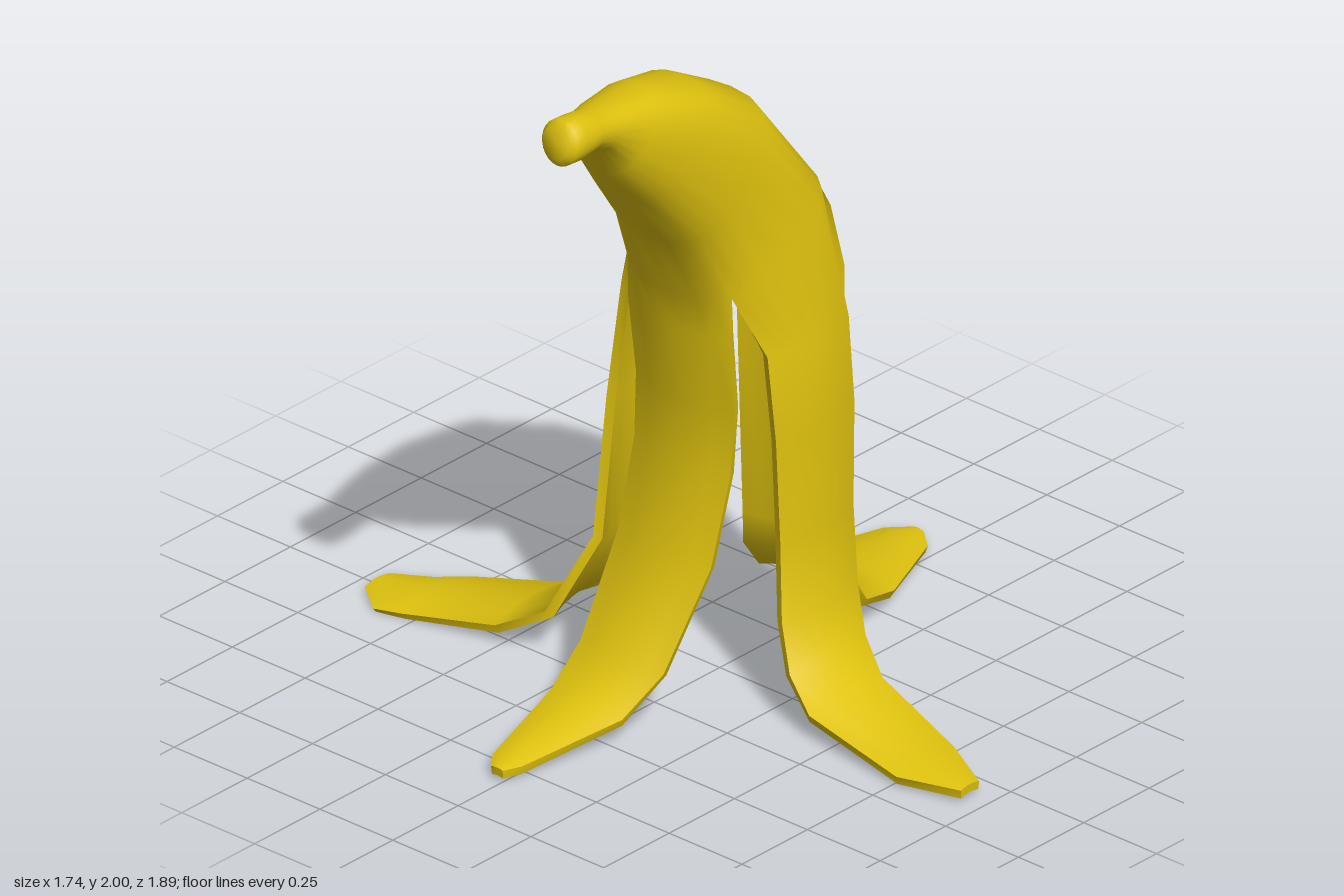
import * as THREE from 'three';
import { mergeGeometries, toCreasedNormals } from 'three/addons/utils/BufferGeometryUtils.js';

const V = (x, y, z) => new THREE.Vector3(x, y, z);
const SEG = 24, QUARTER = SEG / 4;
const THICK = 0.024;

// Skin a list of closed loops, optionally capping the first and last one
function loft(loops, capStart, capEnd) {
  const pos = [];
  const tri = (...pts) => pts.forEach((p) => pos.push(p.x, p.y, p.z));
  const n = loops[0].length;
  const centre = (loop) => loop.reduce((s, p) => s.add(p), V(0, 0, 0)).divideScalar(n);
  const first = loops[0], last = loops[loops.length - 1];
  const c0 = centre(first), c1 = centre(last);
  for (let j = 0; j < n; j++) {
    const k = (j + 1) % n;
    for (let i = 0; i + 1 < loops.length; i++) {
      const a = loops[i], b = loops[i + 1];
      tri(a[j], a[k], b[j]);
      tri(a[k], b[k], b[j]);
    }
    if (capStart) tri(c0, first[k], first[j]);
    if (capEnd) tri(c1, last[j], last[k]);
  }
  const g = new THREE.BufferGeometry();
  g.setAttribute('position', new THREE.Float32BufferAttribute(pos, 3));
  return g;
}

// Cross-sections from stem to mouth: top x,y, bottom x,y, back z, front z, roundness
const SECTIONS = [
  [-0.845, 1.985, -0.865, 1.9, 0.16, 0.25, 1],
  [-0.83, 2.0, -0.85, 1.875, 0.145, 0.265, 1],
  [-0.79, 1.995, -0.8, 1.87, 0.14, 0.265, 1],
  [-0.71, 1.97, -0.72, 1.865, 0.12, 0.245, 1],
  [-0.61, 1.945, -0.67, 1.84, 0.075, 0.235, 0.9],
  [-0.46, 1.93, -0.62, 1.74, 0.02, 0.245, 0.85],
  [-0.25, 1.86, -0.5, 1.6, -0.06, 0.25, 0.8],
  [-0.02, 1.72, -0.34, 1.41, -0.14, 0.25, 0.75],
  [0.2, 1.43, -0.23, 1.2, -0.195, 0.255, 0.65],
];

// Squarish ring; inset shrinks it to make the inner wall
function ring([tx, ty, bx, by, z0, z1, p], inset = 0) {
  const c = V((tx + bx) / 2, (ty + by) / 2, (z0 + z1) / 2);
  const u = V((tx - bx) / 2, (ty - by) / 2, 0);
  u.setLength(u.length() - inset);
  const h = (z1 - z0) / 2 - inset;
  const soft = (v) => Math.sign(v) * Math.abs(v) ** p;
  return Array.from({ length: SEG }, (_, i) => {
    const a = (i / SEG) * Math.PI * 2;
    return c.clone().addScaledVector(u, soft(Math.cos(a))).add(V(0, 0, h * soft(Math.sin(a))));
  });
}

// Strips: rows hold outward distance, height and the two side edges
const STRIPS = [
  { name: 'leftStrip', start: -3, place: (d, y, s) => V(d, y, s), flip: false, rows: [
    [0.245, 1.34, -0.19, 0.19], [0.31, 1.13, -0.19, 0.18], [0.32, 0.92, -0.19, 0.17],
    [0.31, 0.3, -0.16, 0.2], [0.33, 0.22, -0.18, 0.2], [0.38, 0.15, -0.19, 0.18],
    [0.54, 0.085, -0.2, 0.12], [0.82, 0.035, -0.17, -0.02], [0.87, 0.025, -0.12, -0.08]] },
  { name: 'frontStrip', start: 3, place: (d, y, s) => V(s, y, d), flip: true, rows: [
    [0.3, 1.05, -0.12, 0.19], [0.31, 0.8, -0.1, 0.2], [0.305, 0.5, -0.08, 0.2],
    [0.32, 0.28, -0.09, 0.2], [0.37, 0.17, -0.12, 0.17], [0.44, 0.1, -0.14, 0.14],
    [0.77, 0.055, -0.18, 0.04], [0.945, 0.045, -0.13, -0.06]] },
  { name: 'rightStrip', start: 9, place: (d, y, s) => V(-d, y, s), flip: true, rows: [
    [0.225, 1.1, -0.14, 0.21], [0.195, 0.88, -0.14, 0.2], [0.2, 0.7, -0.14, 0.19],
    [0.25, 0.45, -0.15, 0.17], [0.37, 0.18, -0.165, 0.12], [0.48, 0.095, -0.155, 0.09],
    [0.78, 0.045, -0.08, 0.02], [0.83, 0.04, -0.04, 0]] },
  { name: 'backStrip', start: 15, place: (d, y, s) => V(s, y, -d), flip: false, rows: [
    [0.25, 1.1, -0.13, 0.19], [0.3, 0.75, -0.13, 0.18], [0.32, 0.35, -0.16, 0.16],
    [0.4, 0.15, -0.25, 0.09], [0.52, 0.085, -0.29, 0.02], [0.78, 0.045, -0.35, -0.08],
    [0.86, 0.035, -0.37, -0.14], [0.95, 0.025, -0.3, -0.2]] },
];

function stripGeometry({ start, place, flip, rows }, mouth, mouthInner) {
  // The first loop is a quarter of the mouth, so the strip grows out of the shell
  const quarter = (r) => Array.from({ length: QUARTER + 1 }, (_, i) => r[(start + i + SEG) % SEG]);
  const loops = [[...quarter(mouth), ...quarter(mouthInner).reverse()]];
  rows.forEach(([d, y, lo, hi], r) => {
    const a = rows[Math.max(r - 1, 0)], b = rows[Math.min(r + 1, rows.length - 1)];
    const len = Math.hypot(b[0] - a[0], b[1] - a[1]);
    const nd = (a[1] - b[1]) / len, ny = (b[0] - a[0]) / len; // outward normal
    const outer = [], inner = [];
    for (let i = 0; i <= QUARTER; i++) {
      const t = (i / QUARTER) * 2 - 1;
      const s = (lo + hi) / 2 + ((flip ? -t : t) * (hi - lo)) / 2;
      const drop = 0.09 * (hi - lo) * t * t; // arched across its width
      const at = (depth, side) => place(d - nd * depth, Math.max(y - ny * depth, 0.004), side);
      outer.push(at(drop, s));
      inner.push(at(drop + THICK, s - (s - (lo + hi) / 2) * 0.06));
    }
    loops.push([...outer, ...inner.reverse()]);
  });
  return loft(loops, false, true);
}

export function createModel() {
  const group = new THREE.Group();
  const material = new THREE.MeshStandardMaterial({ color: 0xe0c30f });

  // Hollow top with stem: outer wall, then back up the inside
  const outer = SECTIONS.map((s) => ring(s));
  const inner = SECTIONS.slice(5).reverse().map((s) => ring(s, THICK));
  const parts = [{ name: 'stemAndTop', geometry: loft([...outer, ...inner], true, true) }];
  for (const strip of STRIPS) {
    parts.push({ name: strip.name, geometry: stripGeometry(strip, outer[outer.length - 1], inner[0]) });
  }

  // Shade everything together so that the strips blend into the top, then split again
  const whole = toCreasedNormals(mergeGeometries(parts.map((p) => p.geometry)), 0.9);
  let from = 0;
  for (const { name, geometry } of parts) {
    const to = from + geometry.attributes.position.count * 3;
    geometry.setAttribute('normal',
      new THREE.Float32BufferAttribute(whole.attributes.normal.array.slice(from, to), 3));
    from = to;
    const mesh = new THREE.Mesh(geometry, material);
    mesh.name = name;
    group.add(mesh);
  }
  return group;
}
